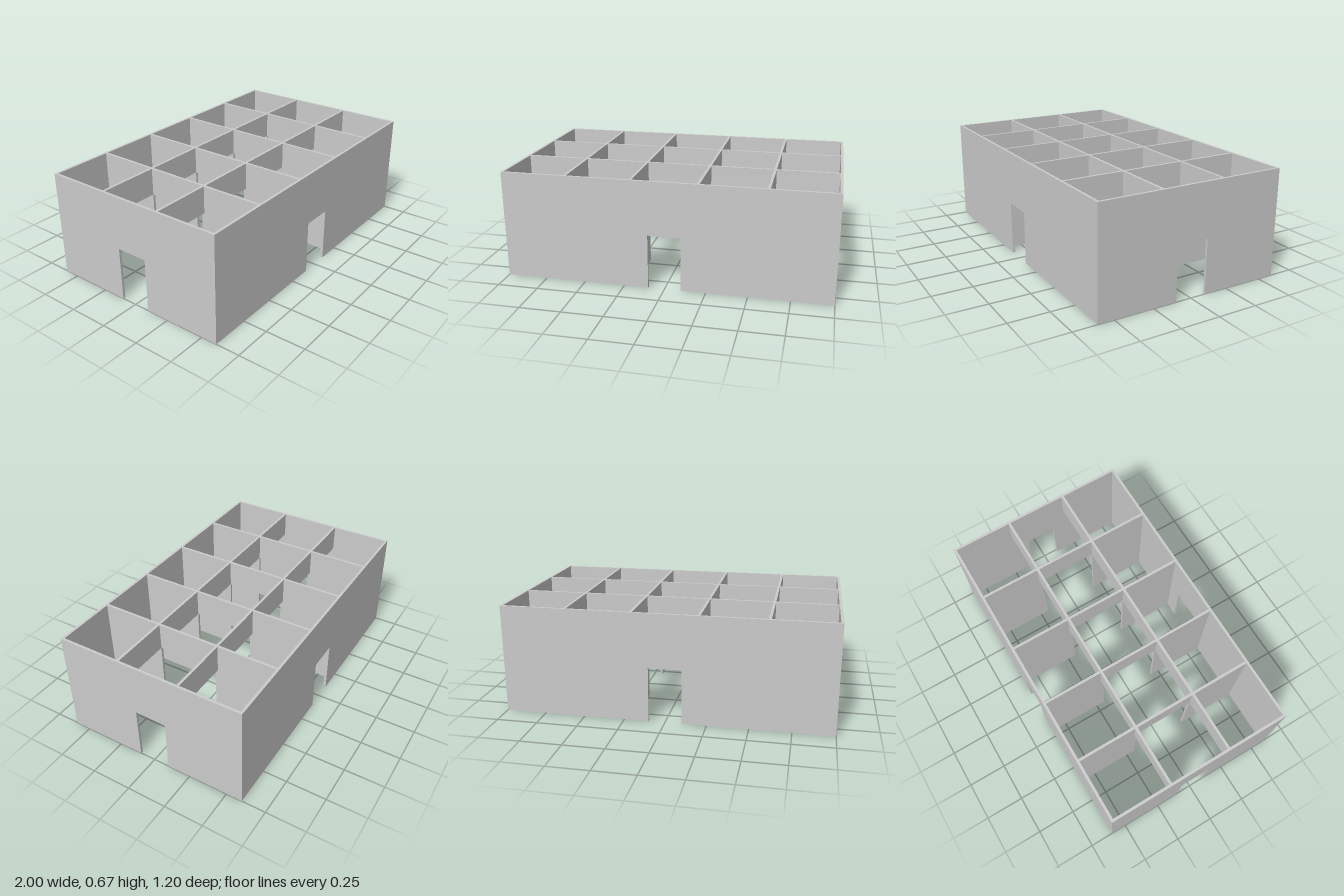
import * as THREE from 'three';

const T = 0.016;      // wall thickness
const H = 0.67;       // wall height
const BEAM = 0.5;     // underside of the interior beams

export function createModel() {
  const model = new THREE.Group();
  const material = new THREE.MeshStandardMaterial({ color: 0xcccccc });

  // Upright wall along x, with one centred opening that reaches the ground
  function wall(name, length, openHalf, openHeight) {
    const l = length / 2;
    const shape = new THREE.Shape([
      [-l, 0], [-openHalf, 0], [-openHalf, openHeight], [openHalf, openHeight],
      [openHalf, 0], [l, 0], [l, H], [-l, H],
    ].map(([x, y]) => new THREE.Vector2(x, y)));
    const geometry = new THREE.ExtrudeGeometry(shape, { depth: T, bevelEnabled: false });
    geometry.translate(0, 0, -T / 2);
    const mesh = new THREE.Mesh(geometry, material);
    mesh.name = name;
    model.add(mesh);
    return mesh;
  }

  // Outer walls, each with a doorway
  for (const s of [1, -1]) {
    wall(s > 0 ? 'frontWall' : 'backWall', 2, 0.1, 0.337).position.z = s * (0.6 - T / 2);
    const side = wall(s > 0 ? 'leftWall' : 'rightWall', 1.2 - 2 * T, 0.1, 0.337);
    side.rotation.y = Math.PI / 2;
    side.position.x = s * (1 - T / 2);
  }

  // Cross partitions, open across the whole middle aisle
  [-0.6, -0.2, 0.2, 0.6].forEach((x, i) => {
    const partition = wall('partition' + (i + 1), 1.2 - 2 * T, 0.2 - T / 2, BEAM);
    partition.rotation.y = Math.PI / 2;
    partition.position.x = x;
  });

  // Long beams that tie the partitions together at the top
  for (const s of [1, -1]) {
    const beam = new THREE.Mesh(new THREE.BoxGeometry(2 - 2 * T, H - BEAM, T), material);
    beam.name = s > 0 ? 'frontBeam' : 'backBeam';
    beam.position.set(0, (H + BEAM) / 2, s * 0.2);
    model.add(beam);
  }
  return model;
}
